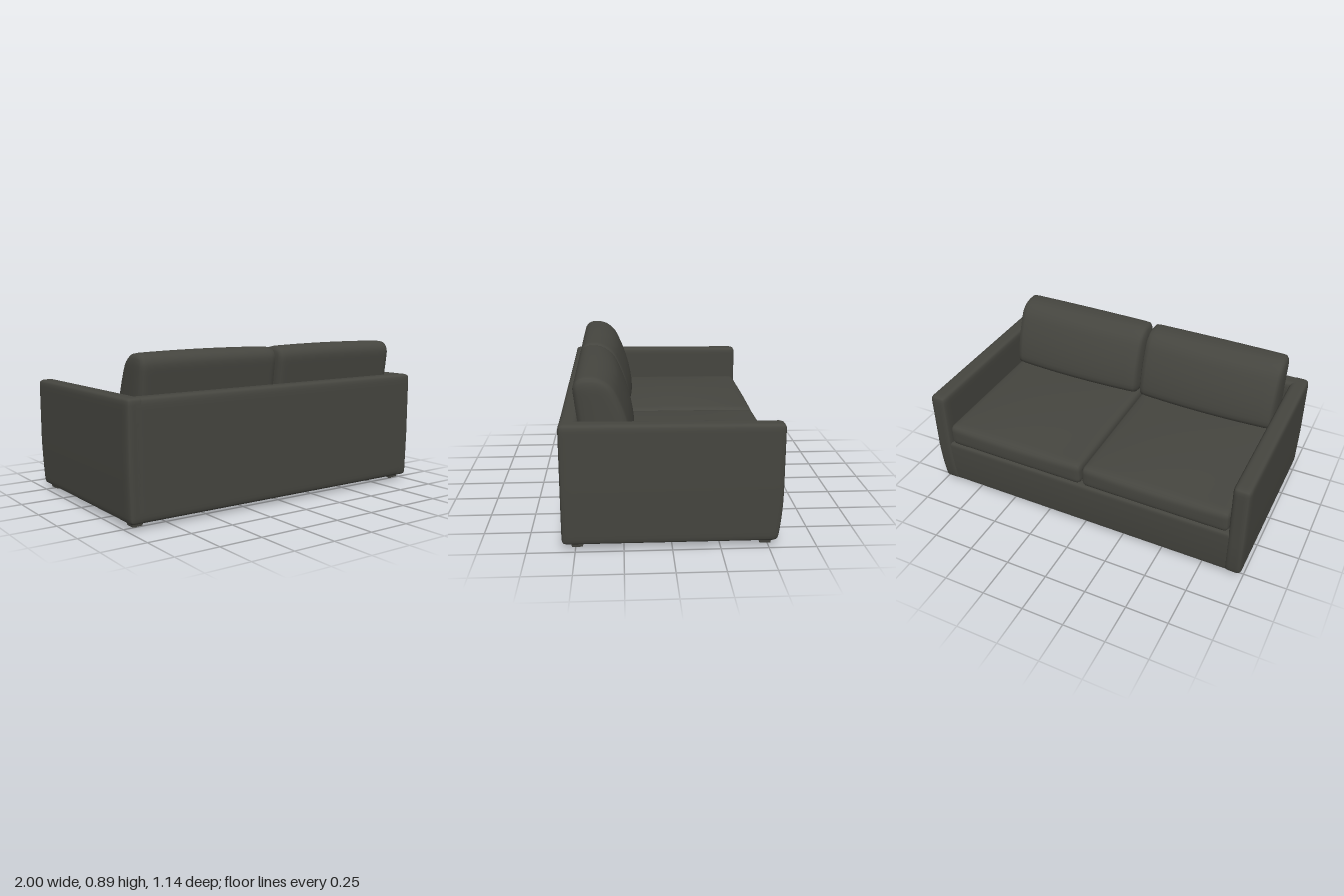
import * as THREE from 'three';
import { mergeVertices } from 'three/addons/utils/BufferGeometryUtils.js';

// Soft block: a box with elliptical edge rounding [rx, ry, rz], then bent by an optional rule.
// min and max are opposite corners; rule(p, u, v, w) gets the point and its -1..1 box coordinates.
function softBlock(min, max, radius, rule, n = 20) {
  const geo = new THREE.BoxGeometry(2, 2, 2, n, n, n);
  geo.deleteAttribute('normal');
  geo.deleteAttribute('uv');
  const half = min.map((m, i) => (max[i] - m) / 2);
  const mid = min.map((m, i) => (max[i] + m) / 2);
  const pos = geo.attributes.position;
  const p = new THREE.Vector3();
  const d = new THREE.Vector3();
  for (let i = 0; i < pos.count; i++) {
    // crowd the grid towards the edges so the rounding is smooth
    const c = [pos.getX(i), pos.getY(i), pos.getZ(i)].map((t) => Math.sin((t * Math.PI) / 2));
    const box = c.map((t, k) => t * half[k]);
    const core = box.map((t, k) => THREE.MathUtils.clamp(t, radius[k] - half[k], half[k] - radius[k]));
    d.set(...box.map((t, k) => (t - core[k]) / radius[k])).normalize();
    p.set(
      mid[0] + core[0] + d.x * radius[0],
      mid[1] + core[1] + d.y * radius[1],
      mid[2] + core[2] + d.z * radius[2]
    );
    if (rule) rule(p, c[0], c[1], c[2]);
    pos.setXYZ(i, p.x, p.y, p.z);
  }
  const out = mergeVertices(geo, 1e-5);
  out.computeVertexNormals();
  return out;
}

// Frame shaping: the open side tucks in near the floor and the top falls slightly towards it.
function frameRule(p) {
  const low = Math.max(0, (0.3 - p.y) / 0.27);
  if (p.z < 0) p.z += 0.022 * low * low * (-p.z / 0.57);
  if (p.y > 0.5) p.y -= 0.005 * (1 - p.z / 0.57);
  p.x *= 1 - 0.008 * low;
}

// Seat cushion: crowned top, slightly bowed front.
function seatRule(p, u, v, w) {
  const crown = (1 - u * u) * (1 - w * w);
  if (v > 0) p.y += 0.03 * crown * v;
  if (w < 0) p.z += 0.008 * w * (1 - u * u) * (1 - v * v);
}

// Back cushion: front face leans back and curves in to a narrower top.
function backRule(p, u) {
  const t = (p.y - 0.46) / 0.425;
  const front = 0.2 + 0.13 * t * t - 0.022 * (1 - u * u);
  const back = 0.455 + 0.052 * t;
  p.z = THREE.MathUtils.lerp(front, back, p.z);
  p.y -= 0.006 * u * u * t;
}

export function createModel() {
  const fabric = new THREE.MeshStandardMaterial({ color: 0x45453f });
  fabric.name = 'charcoal fabric';
  const group = new THREE.Group();
  group.name = 'sofa';

  const add = (name, geometry) => {
    const mesh = new THREE.Mesh(geometry, fabric);
    mesh.name = name;
    group.add(mesh);
    return mesh;
  };

  // Frame
  add('backPanel', softBlock([-0.998, 0.03, 0.47], [0.998, 0.675, 0.57], [0.03, 0.03, 0.03], frameRule));
  add('base', softBlock([-0.95, 0.03, -0.562], [0.95, 0.33, 0.52], [0.02, 0.02, 0.02], frameRule));

  for (const [side, s] of [['left', 1], ['right', -1]]) {
    const span = (a, b) => (s > 0 ? [a, b] : [-b, -a]);

    // Arm
    const [a0, a1] = span(0.9, 1);
    add(side + 'Arm', softBlock([a0, 0.03, -0.57], [a1, 0.675, 0.57], [0.03, 0.025, 0.025], frameRule));

    // Cushions
    const [c0, c1] = span(0.004, 0.897);
    add(side + 'SeatCushion', softBlock([c0, 0.325, -0.56], [c1, 0.465, 0.46], [0.03, 0.04, 0.03], seatRule));
    const [b0, b1] = span(0.004, 0.885);
    add(side + 'BackCushion', softBlock([b0, 0.46, 0], [b1, 0.887, 1], [0.03, 0.075, 0.42], backRule));

    // Feet: a tapered square block on a small round glide
    for (const [end, z] of [['Back', 0.49], ['Front', -0.485]]) {
      const block = new THREE.CylinderGeometry(0.047, 0.04, 0.026, 4, 1).rotateY(Math.PI / 4).toNonIndexed();
      block.computeVertexNormals();
      add(side + end + 'Foot', block).position.set(s * 0.928, 0.022, z);
      add(side + end + 'Glide', new THREE.CylinderGeometry(0.012, 0.012, 0.012, 16)).position.set(s * 0.928, 0.006, z);
    }
  }
  return group;
}
